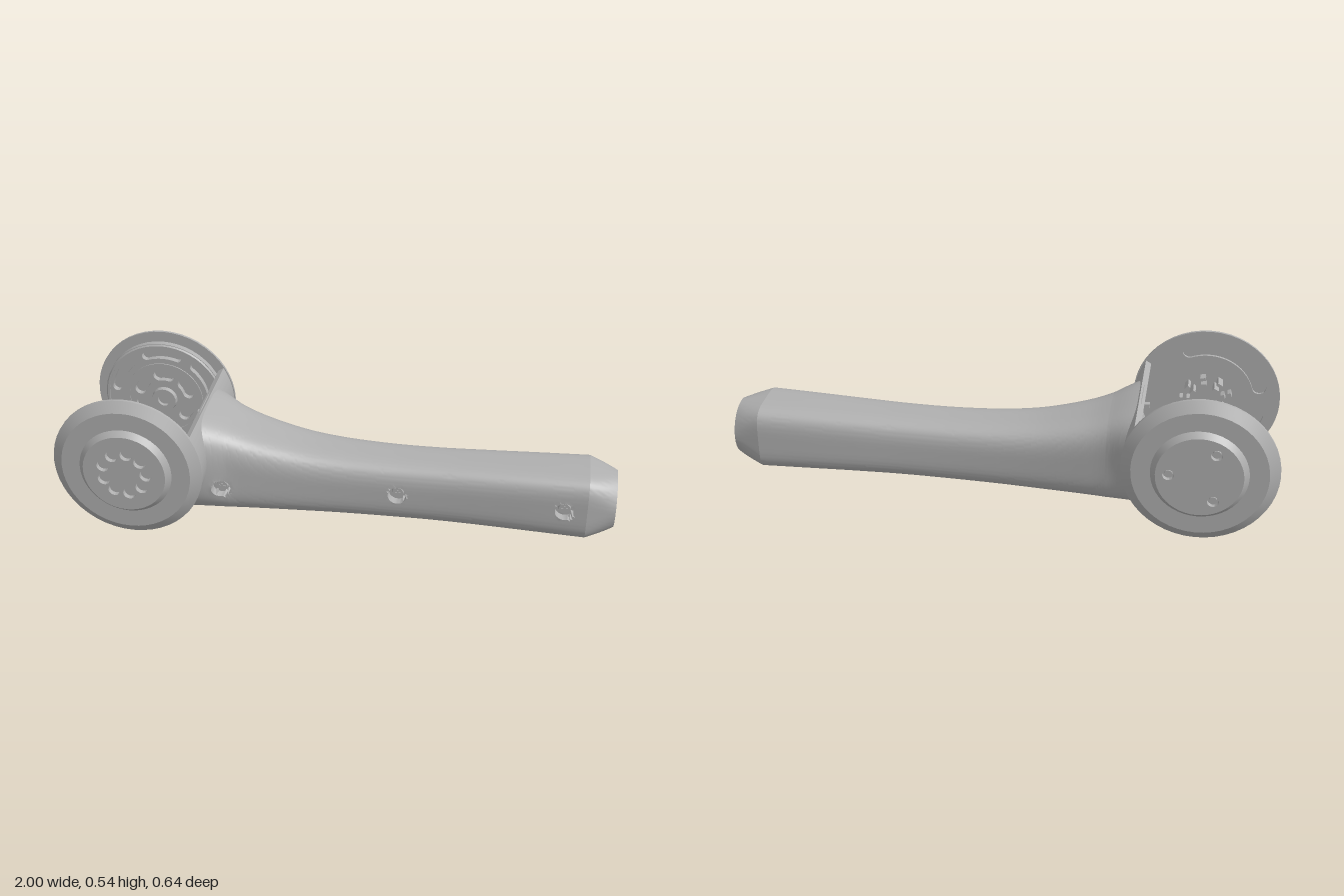
import * as THREE from 'three';
import { toCreasedNormals } from 'three/addons/utils/BufferGeometryUtils.js';

const CX = -0.73, CY = 0.273; // fork axis
const HOLES = [-0.42, 0.22, 0.82], HOLE_Y = 0.145, HOLE_R = 0.034;

export function createModel() {
  const model = new THREE.Group();
  const grey = new THREE.MeshStandardMaterial({ color: 0xb0b0b0 });
  grey.name = 'plain grey';

  function add(name, geometry, x = 0, y = 0, z = 0, parent = model) {
    const mesh = new THREE.Mesh(geometry, grey);
    mesh.name = name;
    mesh.position.set(x, y, z);
    parent.add(mesh);
    return mesh;
  }
  const crease = (g) => toCreasedNormals(g, 0.5);
  const circle = (x, y, r) => new THREE.Path().absarc(x, y, r, 0, Math.PI * 2, false);
  const polar = (r, a) => [r * Math.cos(a), r * Math.sin(a)];

  // Round-ended slot that follows an arc
  function arcSlot(r, w, a0, a1) {
    return new THREE.Path()
      .absarc(0, 0, r + w, a0, a1, false)
      .absarc(...polar(r, a1), w, a1, a1 + Math.PI, false)
      .absarc(0, 0, r - w, a1, a0, true)
      .absarc(...polar(r, a0), w, a0 + Math.PI, a0 + Math.PI * 2, false);
  }
  // Flat disc with holes, extruded along +z
  function plate(r, depth, holes) {
    const shape = new THREE.Shape().absarc(0, 0, r, 0, Math.PI * 2, false);
    shape.holes.push(...holes);
    return crease(new THREE.ExtrudeGeometry(shape, { depth, bevelEnabled: false, curveSegments: 24 }));
  }
  // Lathe turned so its axis points along z
  function turned(points, dir = 1) {
    const g = new THREE.LatheGeometry(points.map((p) => new THREE.Vector2(...p)), 48);
    return crease(g.rotateX(dir * Math.PI / 2));
  }
  // Skin over rounded-square sections [x, top, bottom, halfWidth, squareness]
  function loft(section, rows, cols, rule) {
    const pos = [], index = [];
    for (let i = 0; i <= rows; i++) {
      const [x, top, bottom, hz, n] = section(i / rows);
      for (let j = 0; j <= cols; j++) {
        const a = (j % cols) / cols * Math.PI * 2, c = Math.cos(a), s = Math.sin(a);
        const r = (Math.abs(c) ** n + Math.abs(s) ** n) ** (-1 / n);
        const p = [x, (top + bottom) / 2 + (top - bottom) / 2 * s * r, hz * c * r];
        if (rule) rule(p);
        pos.push(...p);
        if (i < rows && j < cols) {
          const k = i * (cols + 1) + j, m = k + cols + 1;
          index.push(k, m, k + 1, m, m + 1, k + 1);
        }
      }
    }
    const g = new THREE.BufferGeometry();
    g.setAttribute('position', new THREE.Float32BufferAttribute(pos, 3));
    g.setIndex(index);
    return crease(g);
  }

  // Handle: flared against the fork, with three sunken screw holes in the front
  const rows = [
    [-0.50, 0.405, 0.028, 0.195, 4.0], [-0.40, 0.355, 0.024, 0.165, 4.0],
    [-0.30, 0.318, 0.022, 0.150, 3.8], [-0.15, 0.282, 0.020, 0.134, 3.6],
    [0.00, 0.264, 0.020, 0.123, 3.5], [0.18, 0.256, 0.020, 0.116, 3.5],
    [0.36, 0.256, 0.020, 0.115, 3.5], [0.54, 0.259, 0.019, 0.119, 3.7],
    [0.72, 0.263, 0.016, 0.124, 3.9], [0.90, 0.266, 0.013, 0.128, 4.2],
  ];
  const spline = (pick) => new THREE.CatmullRomCurve3(
    rows.map((r) => new THREE.Vector3(...pick(r))), false, 'catmullrom');
  const upper = spline((r) => [r[0], r[1], r[2]]), side = spline((r) => [r[0], r[3], r[4]]);
  const handleSection = (t) => {
    const u = upper.getPoint(t), s = side.getPoint(t);
    return [u.x, u.y, u.z, s.y, s.z];
  };
  function shapeHandle(p) {
    // wrap the wide end onto the curved fork wall
    if (p[0] < -0.4) {
      const wall = CX + Math.sqrt(Math.max(0, 0.258 ** 2 - (p[1] - CY) ** 2));
      p[0] = THREE.MathUtils.lerp(wall, -0.4, (p[0] + 0.5) / 0.1);
    }
    // sink the screw holes
    for (const hx of HOLES) {
      const dx = p[0] - hx, dy = p[1] - HOLE_Y, d = Math.hypot(dx, dy);
      if (p[2] < 0 || d > HOLE_R + 0.008 || d < 1e-6) continue;
      if (d < HOLE_R) p[2] -= 0.035;
      if (d > HOLE_R - 0.008) {
        p[0] = hx + dx / d * HOLE_R;
        p[1] = HOLE_Y + dy / d * HOLE_R;
      }
    }
  }
  add('handle', loft(handleSection, 198, 128, shapeHandle));

  // Tapered tip and its end cap with two pin holes
  const tipEnd = [1.0, 0.243, 0.036, 0.1035, 2];
  add('handleTip', loft((t) => rows[9].map((v, i) => THREE.MathUtils.lerp(v, tipEnd[i], t)), 6, 96));
  const cap = plate(0.1035, 0.02, [circle(-0.05, 0, 0.009), circle(0.05, 0, 0.009)]);
  add('endCap', cap.rotateY(Math.PI / 2), 0.98, 0.1395, 0);
  add('endCapFloor', new THREE.CircleGeometry(0.08, 32).rotateY(Math.PI / 2), 0.985, 0.1395, 0);

  // Cross-head screws at the bottom of the holes
  [0.168, 0.115, 0.126].forEach((z, i) => {
    const screw = new THREE.Group();
    screw.name = 'handleScrew';
    screw.position.set(HOLES[i], HOLE_Y, z - 0.035);
    add('screwHead', new THREE.CylinderGeometry(0.02, 0.023, 0.016, 24).rotateX(Math.PI / 2), 0, 0, 0.006, screw);
    for (const [w, h] of [[0.024, 0.006], [0.006, 0.024]]) {
      add('screwCross', new THREE.BoxGeometry(w, h, 0.004), 0, 0, 0.015, screw);
    }
    model.add(screw);
  });

  // Curved wall joining the two discs
  const a0 = -1.22, a1 = 0.53;
  const wallShape = new THREE.Shape()
    .absarc(0, 0, 0.268, a0, a1, false).absarc(0, 0, 0.245, a1, a0, true);
  add('forkWall', crease(new THREE.ExtrudeGeometry(wallShape,
    { depth: 0.532, bevelEnabled: false, curveSegments: 32 })), CX, CY, -0.266);
  add('wallTab', new THREE.BoxGeometry(0.04, 0.02, 0.018), -0.515, 0.36, 0);

  // Outer discs: chamfered rim, raised boss with an open recess
  const discProfile = [[0, 0.272], [0.272, 0.272], [0.235, 0.298], [0.168, 0.298],
    [0.15, 0.318], [0.146, 0.318], [0.146, 0.3], [0, 0.3]];
  add('frontDisc', turned(discProfile), CX, CY, 0);
  add('backDisc', turned(discProfile, -1), CX, CY, 0);

  // Inner faces of the discs; the front one has two curved grooves
  add('frontDiscInnerFace', plate(0.272, 0.01,
    [arcSlot(0.2, 0.026, 1.2, 2.85), arcSlot(0.2, 0.026, 3.45, 5.1)]), CX, CY, 0.262);
  add('backDiscInnerFace', plate(0.272, 0.01, []), CX, CY, -0.272);

  // Boss covers: nine holes in front, three screws behind
  const ring = (n, r) => Array.from({ length: n }, (_, i) => polar(r, i / n * Math.PI * 2));
  add('frontBossCover', plate(0.147, 0.018, ring(9, 0.08).map(([x, y]) => circle(x, y, 0.023))), CX, CY, 0.3);
  add('backBossCover', plate(0.147, 0.018, ring(3, 0.105).map(([x, y]) => circle(x, y, 0.02))), CX, CY, -0.318);
  for (const [x, y] of ring(3, 0.105)) {
    add('backScrew', new THREE.CylinderGeometry(0.014, 0.014, 0.012, 20).rotateX(Math.PI / 2), CX + x, CY + y, -0.306);
  }

  // Pairs of clip pins inside the front disc
  for (let i = 0; i < 9; i++) {
    const length = i % 2 ? 0.055 : 0.036;
    for (const r of [0.066, 0.092]) {
      const a = i / 9 * Math.PI * 2, [x, y] = polar(r, a);
      add('clipPin', new THREE.BoxGeometry(0.012, 0.02, length), CX + x, CY + y, 0.264 - length / 2).rotation.z = a;
    }
  }

  // Slotted inner plate in front of the back disc, with its hub
  const slots = [];
  for (let i = 0; i < 6; i++) {
    const a = i * Math.PI / 3;
    slots.push(arcSlot(0.19, 0.018, a + 0.2, a + 0.85), arcSlot(0.1, 0.022, a + 0.3, a + 0.7));
  }
  add('innerPlate', plate(0.235, 0.022, slots), CX, CY, -0.254);
  add('plateRing', turned([[0.138, -0.234], [0.152, -0.234], [0.152, -0.228], [0.138, -0.228], [0.138, -0.234]]), CX, CY, 0);
  add('plateRim', turned([[0.22, -0.234], [0.235, -0.234], [0.228, -0.227], [0.22, -0.227], [0.22, -0.234]]), CX, CY, 0);
  add('plateSpacer', new THREE.CylinderGeometry(0.07, 0.07, 0.012, 32).rotateX(Math.PI / 2), CX, CY, -0.258);
  add('plateHub', turned([[0.05, -0.234], [0.046, -0.216], [0.024, -0.216], [0.024, -0.23], [0, -0.23]]), CX, CY, 0);

  return model;
}
